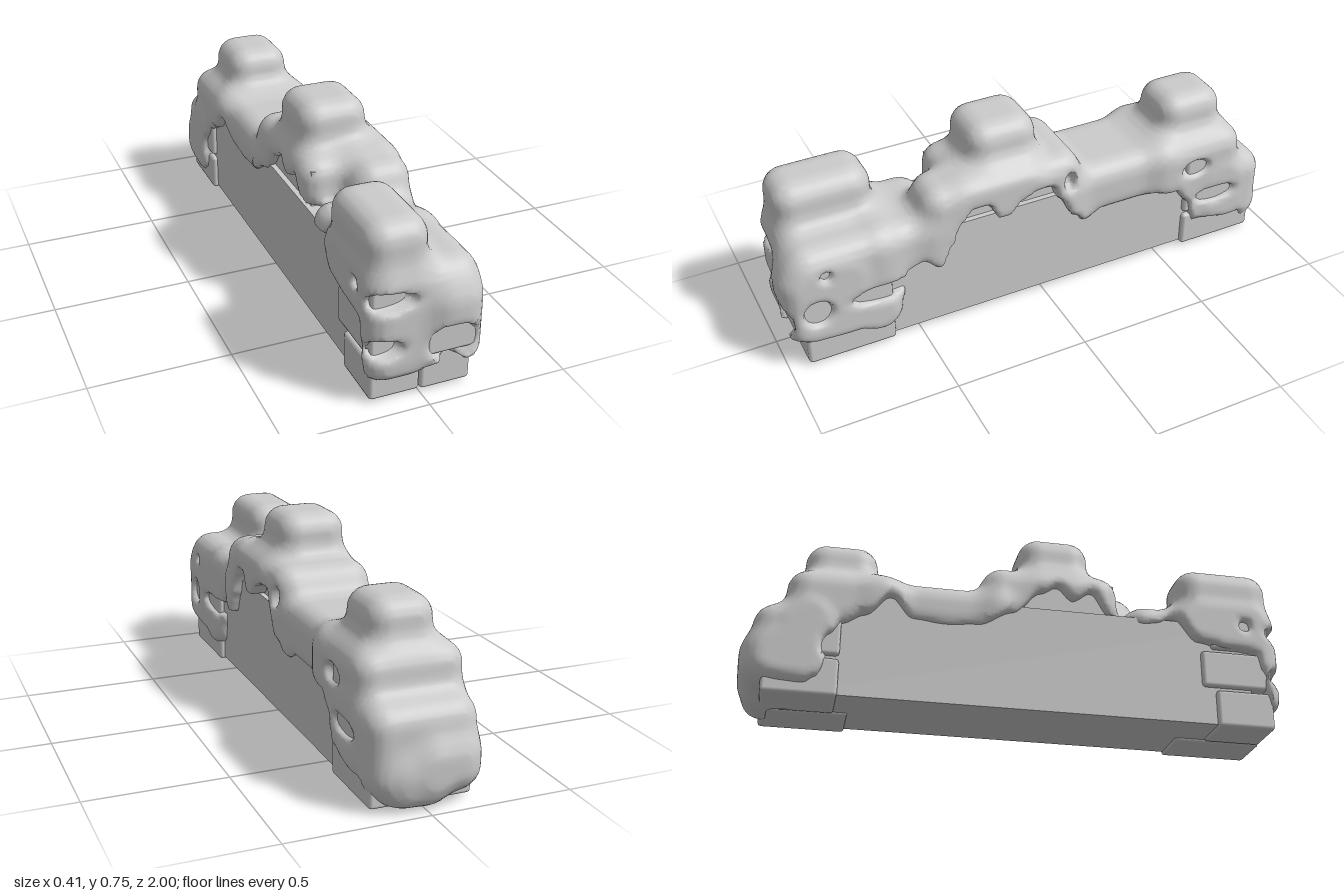
import * as THREE from 'three';
import { RoundedBoxGeometry } from 'three/addons/geometries/RoundedBoxGeometry.js';

const grey = new THREE.MeshStandardMaterial({ color: 0xcccccc });
const { min, max, abs, hypot } = Math;

// Smooth union and smooth intersection of two distances
const smin = (a, b, k) => min(a, b) - max(k - abs(a - b), 0) ** 2 / (4 * k);
const smax = (a, b, k) => -smin(-a, -b, k);

// Snow masses: x0, x1, y0, y1, z0, z1
const masses = [
  [-0.2, 0.03, 0.1, 0.66, 0.58, 0.945],   // front left heap
  [-0.2, 0.2, 0.05, 0.5, 0.57, 0.96],     // front end
  [0.01, 0.2, 0.1, 0.43, 0.7, 1.0],       // front right belly
  [0.0, 0.2, 0.09, 0.24, 0.56, 0.85],     // front tongue
  [-0.18, 0.19, 0.2, 0.495, 0.38, 0.66],  // front saddle
  [-0.18, 0.2, 0.2, 0.6, -0.16, 0.36],    // middle step
  [-0.02, 0.2, 0.2, 0.6, 0.0, 0.47],
  [-0.14, 0.125, 0.3, 0.76, -0.015, 0.26], // middle heap
  [-0.18, 0.18, 0.2, 0.5, -0.6, -0.05],   // rear saddle
  [-0.2, 0.2, 0.05, 0.51, -0.86, -0.45],  // rear end
  [-0.12, 0.125, 0.3, 0.66, -0.8, -0.53], // rear heap
  [-0.2, 0.2, 0.05, 0.365, -0.965, -0.7], // rear drift
  [-0.19, 0.04, 0.06, 0.25, -1.0, -0.8],
  [-0.08, 0.14, 0.0, 0.2, -0.98, -0.78],
];

// Openings that show the bricks: centre, radii
const openings = [
  [0.2, 0.25, 0.88, 0.05, 0.055, 0.055],
  [0.2, 0.4, 0.84, 0.05, 0.022, 0.022],
  [0.2, 0.255, 0.62, 0.07, 0.035, 0.14],
  [0.2, 0.49, -0.1, 0.06, 0.04, 0.025],
  [0.2, 0.385, -0.64, 0.05, 0.035, 0.06],
  [0.2, 0.24, -0.74, 0.05, 0.035, 0.09],
  [-0.15, 0.397, 0.97, 0.12, 0.036, 0.07],
  [-0.16, 0.225, 0.97, 0.085, 0.038, 0.07],
  [0.09, 0.215, 1.0, 0.095, 0.075, 0.08],
  [0.085, 0.11, 0.96, 0.05, 0.05, 0.06],
  [-0.2, 0.2, -0.68, 0.05, 0.06, 0.05],
  [-0.2, 0.42, 0.83, 0.05, 0.025, 0.025],
];

// Lower edge of the snow along each side: z, y
const dripRight = [[-1, 0], [-0.9, 0.01], [-0.86, 0.11], [-0.65, 0.13], [-0.61, 0.24], [-0.56, 0.3],
  [-0.45, 0.31], [-0.25, 0.31], [-0.17, 0.28], [-0.12, 0.33], [-0.06, 0.42], [-0.03, 0.49], [0.04, 0.5],
  [0.1, 0.48], [0.15, 0.43], [0.19, 0.43], [0.23, 0.5], [0.29, 0.5], [0.34, 0.45], [0.37, 0.37],
  [0.42, 0.28], [0.48, 0.32], [0.54, 0.3], [0.565, 0.1], [0.65, 0.08], [0.74, 0.12], [1, 0.13]];
const dripLeft = [[-1, 0], [-0.8, 0], [-0.74, 0.08], [-0.66, 0.3], [-0.58, 0.34], [-0.49, 0.42], [-0.41, 0.34],
  [-0.29, 0.33], [-0.18, 0.34], [-0.05, 0.4], [0.06, 0.5], [0.12, 0.53], [0.18, 0.48], [0.25, 0.52],
  [0.32, 0.43], [0.42, 0.4], [0.49, 0.41], [0.56, 0.44], [0.65, 0.35], [0.76, 0.33], [0.87, 0.32],
  [0.92, 0.1], [1, 0.1]];

function edgeHeight(points, z) {
  let i = 0;
  while (i < points.length - 2 && z > points[i + 1][0]) i++;
  const [[z0, y0], [z1, y1]] = [points[i], points[i + 1]];
  return THREE.MathUtils.lerp(y0, y1, THREE.MathUtils.smoothstep(z, z0, z1));
}

function roundedBox(x, y, z, [x0, x1, y0, y1, z0, z1]) {
  const r = 0.075, inset = 0.004;
  const qx = abs(x - (x0 + x1) / 2) - (x1 - x0) / 2 + r + inset;
  const qy = abs(y - (y0 + y1) / 2) - (y1 - y0) / 2 + r + inset;
  const qz = abs(z - (z0 + z1) / 2) - (z1 - z0) / 2 + r + inset;
  return hypot(max(qx, 0), max(qy, 0), max(qz, 0)) + min(max(qx, qy, qz), 0) - r;
}

// Distance field of the whole snow cover
function snowField(x, y, z) {
  let d = 1;
  for (const m of masses) d = smin(d, roundedBox(x, y, z, m), 0.07);
  const side = THREE.MathUtils.smoothstep(x, -0.04, 0.04);
  const edge = THREE.MathUtils.lerp(edgeHeight(dripLeft, z), edgeHeight(dripRight, z), side);
  d = smax(d, (edge - y) * 0.6, 0.025);
  for (const [cx, cy, cz, rx, ry, rz] of openings) {
    const h = (1 - hypot((x - cx) / rx, (y - cy) / ry, (z - cz) / rz)) * min(rx, ry, rz);
    d = smax(d, h, 0.012);
  }
  return max(d, abs(x) - 0.203, abs(z) - 1, -y);
}

// Skin a distance field: one vertex per crossed cell, one quad per crossed edge
function skin(field, origin, size, step) {
  const n = size.map((s) => Math.ceil(s / step) + 1);
  const stride = [1, n[0], n[0] * n[1]];
  const values = new Float32Array(n[0] * n[1] * n[2]);
  const each = (m, fn) => {
    for (let k = 0; k < n[2] - m; k++)
      for (let j = 0; j < n[1] - m; j++)
        for (let i = 0; i < n[0] - m; i++) fn(i, j, k, i + j * stride[1] + k * stride[2]);
  };
  each(0, (i, j, k, id) => {
    values[id] = field(origin[0] + i * step, origin[1] + j * step, origin[2] + k * step);
  });
  const positions = [], indices = [], vertexOf = new Int32Array(values.length).fill(-1);
  each(1, (i, j, k, id) => {
    const sum = [0, 0, 0];
    let count = 0;
    for (let c = 0; c < 8; c++) for (let a = 0; a < 3; a++) {
      if ((c >> a) & 1) continue;
      const o = [c & 1, (c >> 1) & 1, c >> 2];
      const p = id + o[0] + o[1] * stride[1] + o[2] * stride[2];
      const v0 = values[p], v1 = values[p + stride[a]];
      if ((v0 < 0) === (v1 < 0)) continue;
      o[a] += v0 / (v0 - v1);
      o.forEach((v, q) => { sum[q] += v; });
      count++;
    }
    if (!count) return;
    vertexOf[id] = positions.length / 3;
    [i, j, k].forEach((g, a) => positions.push(origin[a] + (g + sum[a] / count) * step));
  });
  each(1, (i, j, k, id) => {
    for (let a = 0; a < 3; a++) {
      const inside = values[id] < 0;
      if (inside === values[id + stride[a]] < 0) continue;
      const b = stride[(a + 1) % 3], c = stride[(a + 2) % 3];
      const q = [id - b - c, id - c, id, id - b].map((cell) => vertexOf[cell]);
      if (!inside) q.reverse();
      indices.push(q[0], q[1], q[2], q[0], q[2], q[3]);
    }
  });
  const geometry = new THREE.BufferGeometry();
  geometry.setAttribute('position', new THREE.Float32BufferAttribute(positions, 3));
  geometry.setIndex(indices);
  geometry.computeVertexNormals();
  return geometry;
}

export function createModel() {
  const model = new THREE.Group();
  const add = (name, geometry, x = 0, y = 0, z = 0) => {
    const mesh = new THREE.Mesh(geometry, grey);
    mesh.name = name;
    mesh.position.set(x, y, z);
    model.add(mesh);
  };
  const block = (name, x0, x1, y0, y1, z0, z1, bevel) => {
    const s = [x1 - x0, y1 - y0, z1 - z0];
    const g = bevel ? new RoundedBoxGeometry(...s, 1, bevel) : new THREE.BoxGeometry(...s);
    add(name, g, (x0 + x1) / 2, (y0 + y1) / 2, (z0 + z1) / 2);
  };

  // Wall core and its raised middle
  block('wallCore', -0.16, 0.16, 0.03, 0.43, -0.8, 0.85);
  block('wallTop', -0.14, 0.14, 0.43, 0.56, -0.06, 0.34);

  // Paired bricks stacked at both ends, the left ones shorter
  for (const left of [true, false]) {
    const x = left ? -0.18 : 0;
    for (let row = 0; row < 3; row++) {
      const y = 0.02 + row * 0.153;
      const frontStart = left ? [0.71, 0.66, 0.7][row] : 0.6;
      const frontEnd = left ? 0.925 : [0.93, 0.965, 0.92][row];
      block('frontBrick', x, x + 0.18, y, y + 0.14, frontStart, frontEnd, 0.013);
      const rearEnd = [-0.92, -0.83, -0.74][row];
      block('rearBrick', x, x + 0.18, y, y + 0.14, rearEnd, left ? -0.66 : -0.61, 0.013);
    }
  }

  add('snowCover', skin(snowField, [-0.24, -0.04, -1.04], [0.48, 0.86, 2.08], 0.0145));
  return model;
}
